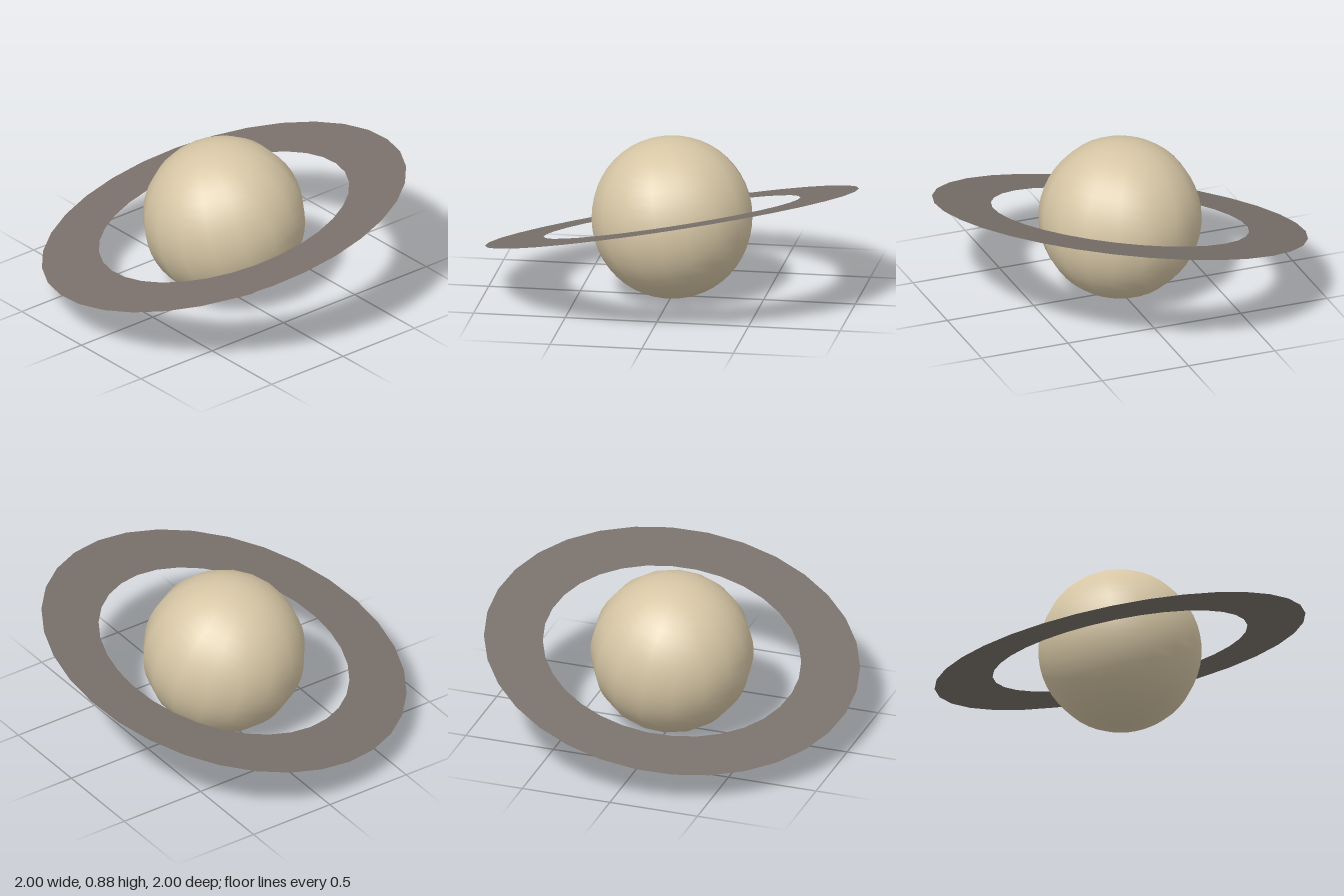
import * as THREE from 'three';

export function createModel() {
  const group = new THREE.Group();
  const sand = new THREE.MeshStandardMaterial({ name: 'sand', color: 0xd6c6a5 });
  const dust = new THREE.MeshStandardMaterial({ name: 'dustyGrey', color: 0x7a716b, side: THREE.DoubleSide });

  // Everything shares one tilted axis through the planet's centre
  const tilted = new THREE.Group();
  tilted.name = 'tiltedPlanet';
  tilted.position.y = 0.44;
  tilted.rotation.set(0.194, -0.016, 0.194);
  group.add(tilted);

  // Smooth globe
  const globe = new THREE.Mesh(new THREE.SphereGeometry(0.44, 16, 24), sand);
  globe.name = 'globe';
  tilted.add(globe);

  // Flat ring lying in the equator plane
  const ring = new THREE.Mesh(new THREE.RingGeometry(0.7, 1.019, 32).rotateX(-Math.PI / 2), dust);
  ring.name = 'ring';
  tilted.add(ring);

  return group;
}
